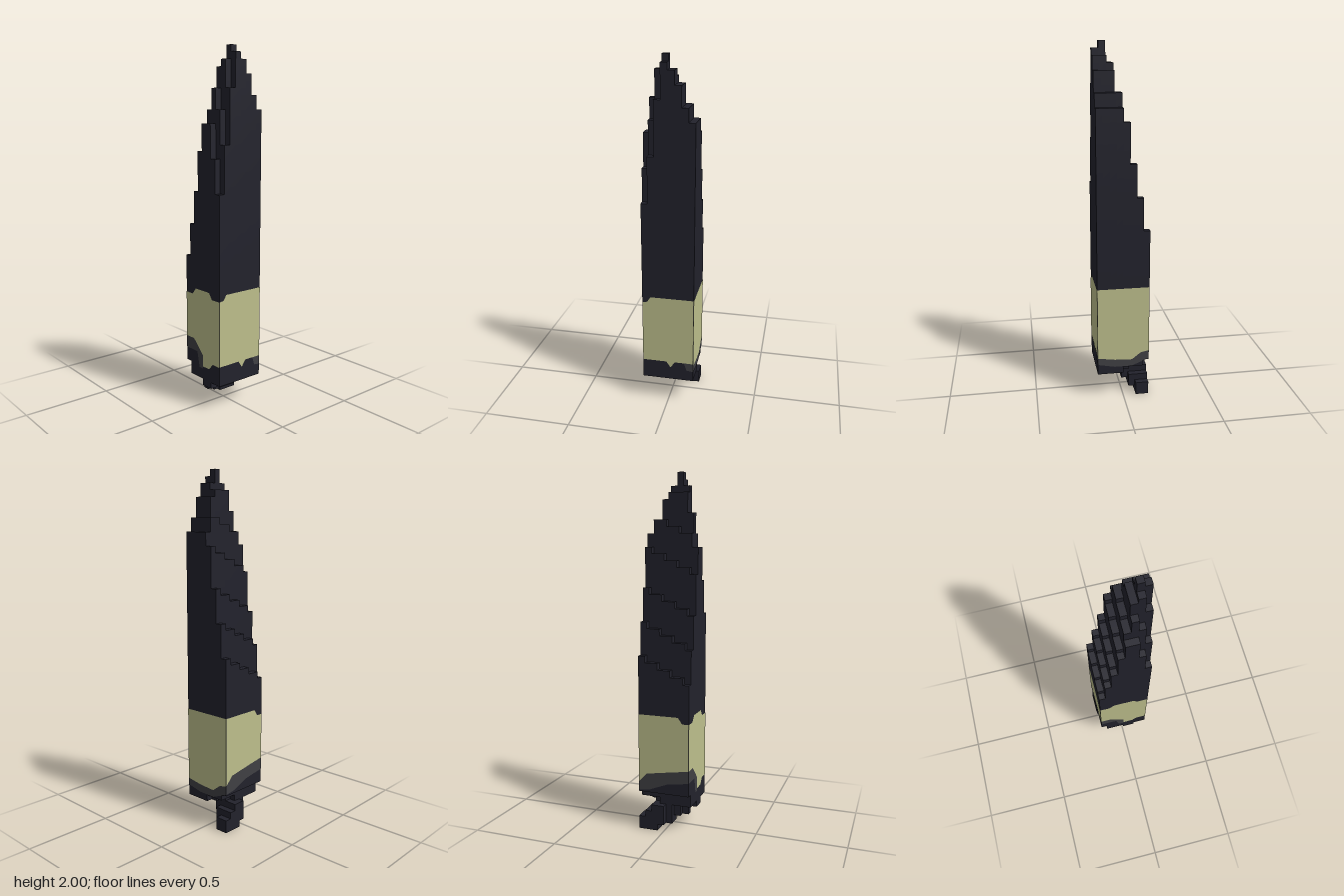
import * as THREE from 'three';
import { mergeGeometries, mergeVertices } from 'three/addons/utils/BufferGeometryUtils.js';

const N = 8, H = 54, U = 2 / H, R = N * U / 2;

// Height limits per column across x and z
const topX = [27, 32, 37, 43, 48, 51, 54, 53];
const topZ = [45, 47, 50, 52, 54, 52, 48, 43];
// Underside of the curled tail across x and z
const lowX = [0, 0, 1, 2, 3, 3, 4, 4];
const lowZ = [0, 0, 0, 1, 1, 2, 2, 3];

function bladeTop(i, k) {
  const slope = i < 5 ? Math.round(k * 4 / 7) : 0;
  const frontCut = Math.floor(33 + 5 * (7 - i) + 7.5 * (7 - k));
  return Math.min(topX[i] - slope, topZ[k], frontCut);
}
const bladeBottom = (i, k) => (i === 0 ? 6 : i + k < 4 ? 5 : 4);

function inBlade(i, y, k) {
  return y >= bladeBottom(i, k) && y < bladeTop(i, k);
}
function inTail(i, y, k) {
  const d = k - i;
  if (d < -1 || d > 3) return false;
  const top = Math.min(2 + k, i === 0 ? 4 : 6, bladeBottom(i, k));
  return y >= Math.max(lowX[i], lowZ[k]) && y < top;
}
function solid(i, y, k) {
  if (i < 0 || k < 0 || y < 0 || i >= N || k >= N || y >= H) return false;
  return inBlade(i, y, k) || inTail(i, y, k);
}

// Outer faces of the cells that belong to one part
function cellShell(belongs) {
  const dirs = [
    [1, 0, 0, 0, Math.PI / 2], [-1, 0, 0, 0, -Math.PI / 2],
    [0, 1, 0, -Math.PI / 2, 0], [0, -1, 0, Math.PI / 2, 0],
    [0, 0, 1, 0, 0], [0, 0, -1, 0, Math.PI],
  ].map(([x, y, z, rx, ry]) => ({
    x, y, z,
    face: new THREE.PlaneGeometry(U, U).rotateX(rx).rotateY(ry).translate(x * U / 2, y * U / 2, z * U / 2),
  }));
  const faces = [];
  for (let i = 0; i < N; i++) for (let k = 0; k < N; k++) for (let y = 0; y < H; y++) {
    if (!belongs(i, y, k)) continue;
    for (const d of dirs) {
      if (solid(i + d.x, y + d.y, k + d.z)) continue;
      faces.push(d.face.clone().translate((i + 0.5) * U - R, (y + 0.5) * U, (k + 0.5) * U - R));
    }
  }
  return mergeVertices(mergeGeometries(faces));
}

// Painted outlines on each side, as seen facing that side
const E = R;
const sides = [
  { name: 'front', turn: 0,
    band: [[-E, .635], [-.09, .635], [-.06, .67], [.06, .67], [.085, .635], [E, .635], [E, .26], [.09, .26],
      [.06, .225], [0, .222], [0, .29], [-.04, .33], [-.08, .37], [-E, .37]],
    shade: [[-E, .37], [-.08, .37], [-.04, .33], [0, .29], [0, .21], [-.03, .21], [-.05, .3], [-E, .3]] },
  { name: 'right', turn: Math.PI / 2,
    band: [[-E, .635], [-.12, .64], [-.1, .67], [E, .67], [E, .262], [.04, .262], [.015, .225], [-.01, .262], [-E, .262]],
    shade: [[.095, .262], [E, .262], [E, .21], [.11, .215]] },
  { name: 'back', turn: Math.PI,
    band: [[-E, .67], [E, .67], [E, .28], [.1, .27], [.05, .23], [-.05, .235], [-E, .25]],
    shade: [[-E, .25], [-.05, .235], [.05, .23], [.1, .27], [E, .28], [E, .23], [.05, .19], [-.05, .19], [-E, .21]] },
  { name: 'left', turn: -Math.PI / 2,
    band: [[-E, .67], [.085, .67], [.11, .635], [E, .635], [E, .37], [.05, .355], [-.1, .33], [-E, .28]],
    shade: [[-E, .28], [-.1, .33], [.05, .355], [E, .37], [E, .3], [.02, .28], [-.08, .24], [-E, .23]] },
];

function plate(points, material, name) {
  const shape = new THREE.Shape(points.map(([x, y]) => new THREE.Vector2(x, y)));
  const mesh = new THREE.Mesh(new THREE.ShapeGeometry(shape).translate(0, 0, R + 0.0015), material);
  mesh.name = name;
  return mesh;
}

export function createModel() {
  const group = new THREE.Group();
  group.name = 'taperedBlade';
  const dark = new THREE.MeshStandardMaterial({ color: 0x22222c });
  const pale = new THREE.MeshStandardMaterial({ color: 0xbdbf8c });
  const grey = new THREE.MeshStandardMaterial({ color: 0x404044 });
  dark.name = 'darkSlate';
  pale.name = 'paleYellow';
  grey.name = 'midGrey';

  // Stepped body and curled tail beneath it
  const blade = new THREE.Mesh(cellShell(inBlade), dark);
  blade.name = 'blade';
  const tail = new THREE.Mesh(cellShell(inTail), dark);
  tail.name = 'tail';
  group.add(blade, tail);

  // Pale band with its grey lower edge on all four sides
  for (const s of sides) {
    const side = new THREE.Group();
    side.name = s.name + 'Markings';
    side.add(plate(s.band, pale, 'band'), plate(s.shade, grey, 'bandShade'));
    side.rotation.y = s.turn;
    group.add(side);
  }
  return group;
}
